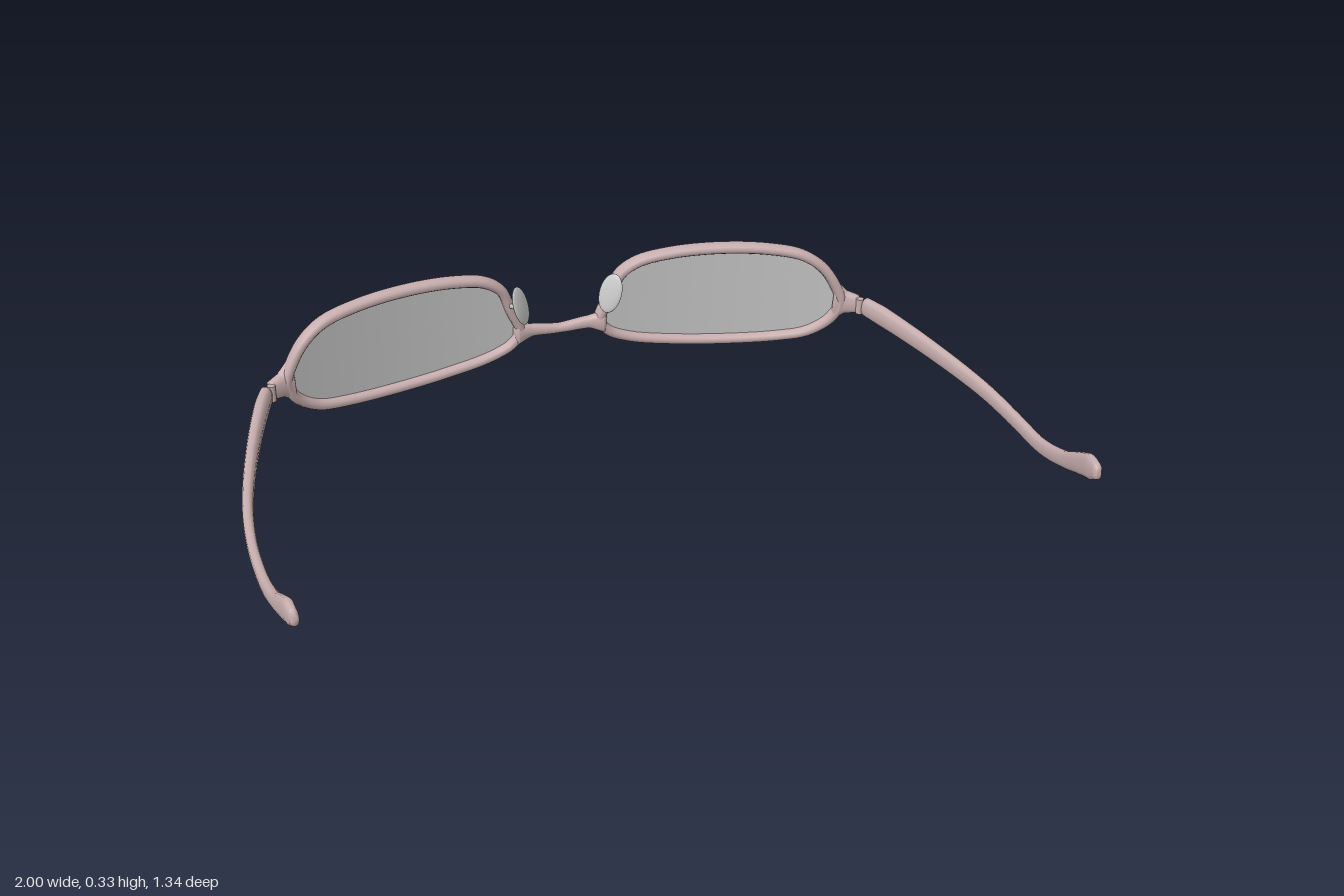
import * as THREE from 'three';

const V = (x, y, z) => new THREE.Vector3(x, y, z);
const frameMat = new THREE.MeshStandardMaterial({ color: 0xc8aeae });
const greyMat = new THREE.MeshStandardMaterial({ color: 0xcccccc });
const lensMat = new THREE.MeshStandardMaterial({ color: 0xcccccc, side: THREE.DoubleSide });

// Curved, slightly tilted sheet that the rims and lenses follow
const sheetZ = (x, y) => -0.65 + 0.24 * x * x + 0.11 * (y - 0.17);

// Skin a list of rings; loop joins the last ring to the first, otherwise ends are capped
function skin(rings, loop, wrap = true) {
  const n = rings[0].length, pos = [], idx = [];
  rings.forEach(r => r.forEach(p => pos.push(p.x, p.y, p.z)));
  const rows = loop ? rings.length : rings.length - 1, cols = wrap ? n : n - 1;
  for (let i = 0; i < rows; i++) {
    for (let j = 0; j < cols; j++) {
      const k = (i + 1) % rings.length, m = (j + 1) % n;
      const a = i * n + j, b = k * n + j, c = k * n + m, d = i * n + m;
      idx.push(a, b, d, b, c, d);
    }
  }
  if (!loop) {
    const last = (rings.length - 1) * n;
    for (let j = 1; j < n - 1; j++) idx.push(0, j, j + 1, last, last + j + 1, last + j);
  }
  const g = new THREE.BufferGeometry();
  g.setAttribute('position', new THREE.Float32BufferAttribute(pos, 3));
  g.setIndex(idx);
  g.computeVertexNormals();
  return g;
}

// Softly squared oval in the plane of two directions
function oval(centre, side, up, a, b, n = 14) {
  const soft = t => Math.sign(t) * Math.abs(t) ** 0.8;
  return Array.from({ length: n }, (_, j) => {
    const t = j / n * Math.PI * 2;
    return centre.clone().addScaledVector(side, a * soft(Math.cos(t)))
      .addScaledVector(up, b * soft(Math.sin(t)));
  });
}

// Loft through stations [x, y, z, halfWidth, halfHeight] with rounded ends
function loft(stations, steps = 40) {
  const path = new THREE.CatmullRomCurve3(stations.map(s => V(s[0], s[1], s[2])), false, 'centripetal');
  const rings = [];
  for (let i = 0; i <= steps; i++) {
    const t = i / steps, f = t * (stations.length - 1);
    const k = Math.min(Math.floor(f), stations.length - 2), w = f - k;
    const mix = c => stations[k][c] * (1 - w) + stations[k + 1][c] * w;
    const T = path.getTangent(t);
    const side = T.clone().cross(V(0, 1, 0)).normalize(), up = side.clone().cross(T);
    const at = path.getPoint(t);
    if (i === 0) rings.push(oval(at.clone().addScaledVector(T, -0.006), side, up, mix(3) * 0.6, mix(4) * 0.6));
    rings.push(oval(at, side, up, mix(3), mix(4)));
    if (i === steps) rings.push(oval(at.clone().addScaledVector(T, 0.006), side, up, mix(3) * 0.6, mix(4) * 0.6));
  }
  return skin(rings, false);
}

// Outer outline of one rim, anticlockwise
const outline = new THREE.CatmullRomCurve3([
  [0.812, 0.14], [0.79, 0.205], [0.75, 0.263], [0.69, 0.305], [0.59, 0.327], [0.45, 0.335],
  [0.31, 0.327], [0.215, 0.306], [0.16, 0.265], [0.13, 0.19], [0.103, 0.115], [0.13, 0.068],
  [0.2, 0.034], [0.33, 0.011], [0.48, 0.002], [0.63, 0.008], [0.72, 0.026], [0.785, 0.075],
].map(p => V(p[0], p[1], 0)), true);

// Point on the outline moved inward, laid on the sheet
function edgePoint(t, inset) {
  const p = outline.getPoint(t), T = outline.getTangent(t);
  const out = V(T.y, -T.x, 0);
  p.addScaledVector(out, -inset);
  p.z = sheetZ(p.x, p.y);
  return { p, out };
}

function rimGeometry() {
  const rings = [];
  for (let i = 0; i < 96; i++) {
    const { p, out } = edgePoint(i / 96, 0.015);
    rings.push(oval(p, out, V(0, 0, 1), 0.015, 0.023, 12));
  }
  return skin(rings, true);
}

function lensGeometry() {
  const rings = [];
  for (let i = 0; i < 72; i++) {
    const { p } = edgePoint(i / 72, 0.018), row = [];
    for (let j = 0; j <= 10; j++) {
      const q = V(0.45, 0.17, 0).lerp(p, j / 10);
      q.z = sheetZ(q.x, q.y);
      row.push(q);
    }
    rings.push(row);
  }
  return skin(rings, true, false);
}

// Oval pad, flattened across its leaning face
function padGeometry() {
  const long = V(0.3, 1, 0.05).normalize(), normal = V(0.72, -0.2, -0.68);
  normal.addScaledVector(long, -normal.dot(long)).normalize();
  const wide = long.clone().cross(normal);
  const g = new THREE.SphereGeometry(1, 20, 14);
  g.scale(0.035, 0.06, 0.009);
  g.applyMatrix4(new THREE.Matrix4().makeBasis(wide, long, normal.clone()).determinant() > 0
    ? new THREE.Matrix4().makeBasis(wide, long, normal)
    : new THREE.Matrix4().makeBasis(wide.negate(), long, normal));
  return g.translate(0.13, 0.226, -0.583);
}

function mirrored(geometry) {
  const g = geometry.clone().applyMatrix4(new THREE.Matrix4().makeScale(-1, 1, 1));
  const a = g.index.array;
  for (let i = 0; i < a.length; i += 3) [a[i], a[i + 1]] = [a[i + 1], a[i]];
  return g;
}

export function createModel() {
  const group = new THREE.Group();
  const add = (name, geometry, material) => {
    const mesh = new THREE.Mesh(geometry, material);
    mesh.name = name;
    group.add(mesh);
  };
  const addPair = (name, geometry, material) => {
    add(name + 'Left', geometry, material);
    add(name + 'Right', mirrored(geometry), material);
  };

  addPair('rim', rimGeometry(), frameMat);
  addPair('lens', lensGeometry(), lensMat);

  // Bridge, thicker where it meets the rims
  add('bridge', loft([
    [-0.13, 0.11, -0.645, 0.02, 0.034], [-0.085, 0.111, -0.653, 0.017, 0.018],
    [0, 0.103, -0.658, 0.016, 0.013],
    [0.085, 0.111, -0.653, 0.017, 0.018], [0.13, 0.11, -0.645, 0.02, 0.034],
  ]), frameMat);

  // End pieces flaring out of the rims, with the hinges
  addPair('endPiece', loft([
    [0.785, 0.14, -0.508, 0.022, 0.06], [0.812, 0.138, -0.494, 0.02, 0.035],
    [0.842, 0.136, -0.476, 0.016, 0.027],
  ], 14), frameMat);
  const hinge = new THREE.CylinderGeometry(0.011, 0.011, 0.045, 14);
  addPair('hinge', hinge.translate(0.842, 0.136, -0.462), frameMat);

  // Temples, bowed outward and bent at the ear
  addPair('temple', loft([
    [0.858, 0.134, -0.455, 0.017, 0.028], [0.88, 0.131, -0.39, 0.019, 0.03],
    [0.93, 0.12, -0.2, 0.016, 0.027], [0.975, 0.107, 0.04, 0.014, 0.023],
    [0.986, 0.099, 0.2, 0.013, 0.021], [0.981, 0.103, 0.35, 0.013, 0.021],
    [0.971, 0.138, 0.48, 0.013, 0.022], [0.963, 0.174, 0.56, 0.014, 0.028],
    [0.956, 0.199, 0.62, 0.014, 0.032], [0.952, 0.207, 0.655, 0.011, 0.02],
  ], 60), frameMat);

  // Nose pads on short arms
  addPair('nosePad', padGeometry(), greyMat);
  addPair('nosePadArm', loft([
    [0.146, 0.205, -0.635, 0.006, 0.008], [0.148, 0.215, -0.61, 0.005, 0.006],
    [0.132, 0.224, -0.585, 0.005, 0.006],
  ], 12), greyMat);

  return group;
}
